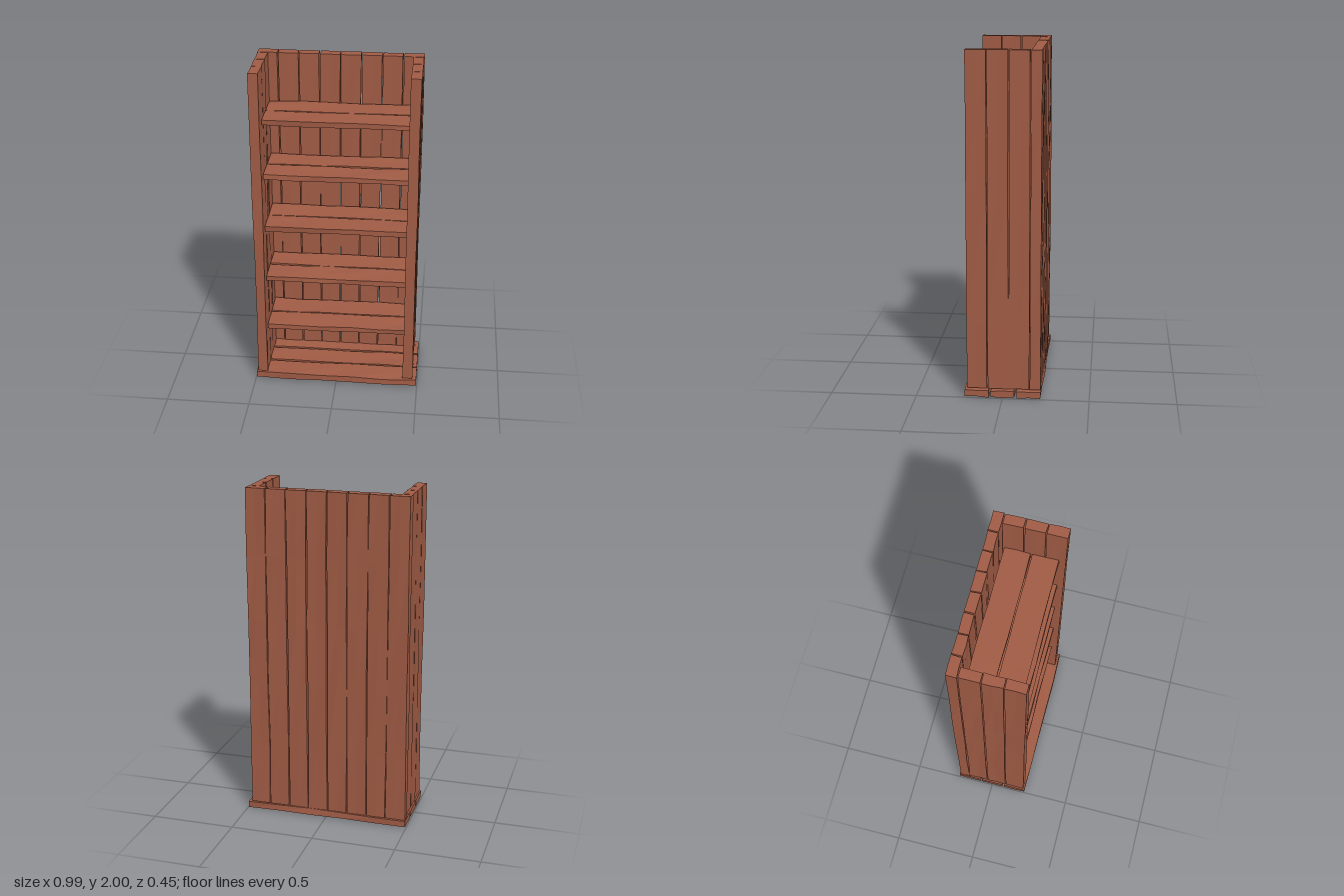
import * as THREE from 'three';

const wood = new THREE.MeshStandardMaterial({ color: 0xa15c45 });
wood.name = 'reddish brown wood';

// Repeatable noise in -1..1, the same for coincident corners
function noise(x, y, z, seed) {
  const s = Math.sin(x * 127.1 + y * 311.7 + z * 74.7 + seed * 19.19) * 43758.5453;
  return (s - Math.floor(s)) * 2 - 1;
}

let seed = 0;

// Hand-hewn plank between two corners: its long faces wander slightly, its length stays true
function plank(name, [x0, y0, z0], [x1, y1, z1], wobble = 0.003) {
  seed++;
  const size = [x1 - x0, y1 - y0, z1 - z0];
  const long = size.indexOf(Math.max(...size));
  const thin = size.indexOf(Math.min(...size));
  const segments = size.map((s, i) => (i === long ? 5 : i === thin ? 1 : 2));
  const geometry = new THREE.BoxGeometry(...size, ...segments).toNonIndexed();
  const pos = geometry.attributes.position;
  for (let i = 0; i < pos.count; i++) {
    const p = [pos.getX(i), pos.getY(i), pos.getZ(i)];
    const key = p.map((v) => Math.round(v * 1000) / 1000 + 0);
    const moved = p.map((v, axis) =>
      axis === long ? v : v + wobble * noise(...key, seed + axis * 31));
    pos.setXYZ(i, ...moved);
  }
  geometry.computeVertexNormals();
  const mesh = new THREE.Mesh(geometry, wood);
  mesh.name = name;
  mesh.position.set((x0 + x1) / 2, (y0 + y1) / 2, (z0 + z1) / 2);
  return mesh;
}

export function createModel() {
  const model = new THREE.Group();
  model.name = 'bookcase';

  // Three base boards running across
  const base = new THREE.Group();
  base.name = 'base';
  for (const [z0, z1] of [[-0.221, -0.081], [-0.07, 0.07], [0.081, 0.221]]) {
    base.add(plank('baseBoard', [-0.495, 0.006, z0], [0.495, 0.045, z1], 0.004));
  }

  // Eight upright back boards
  const back = new THREE.Group();
  back.name = 'back';
  for (let i = 0; i < 8; i++) {
    const x = -0.49 + i * 0.1208;
    back.add(plank('backBoard', [x, 0.05, -0.217], [x + 0.116, 2, -0.158]));
  }

  // Three upright boards on each side
  for (const [name, x0, x1] of [['rightSide', -0.486, -0.428], ['leftSide', 0.411, 0.469]]) {
    const side = new THREE.Group();
    side.name = name;
    for (let i = 0; i < 3; i++) {
      const z = -0.153 + i * 0.122;
      side.add(plank('sideBoard', [x0, 0.05, z], [x1, 2, z + 0.117], 0.0025));
    }
    model.add(side);
  }

  // Five shelves, each of two boards
  for (let i = 0; i < 5; i++) {
    const top = 0.37 + i * 0.335;
    const shelf = new THREE.Group();
    shelf.name = 'shelf';
    shelf.add(plank('shelfRearBoard', [-0.424, top - 0.03, -0.145], [0.411, top, 0.008]));
    shelf.add(plank('shelfFrontBoard', [-0.424, top - 0.03, 0.017], [0.411, top, 0.169]));
    model.add(shelf);
  }

  model.add(base, back);
  return model;
}
